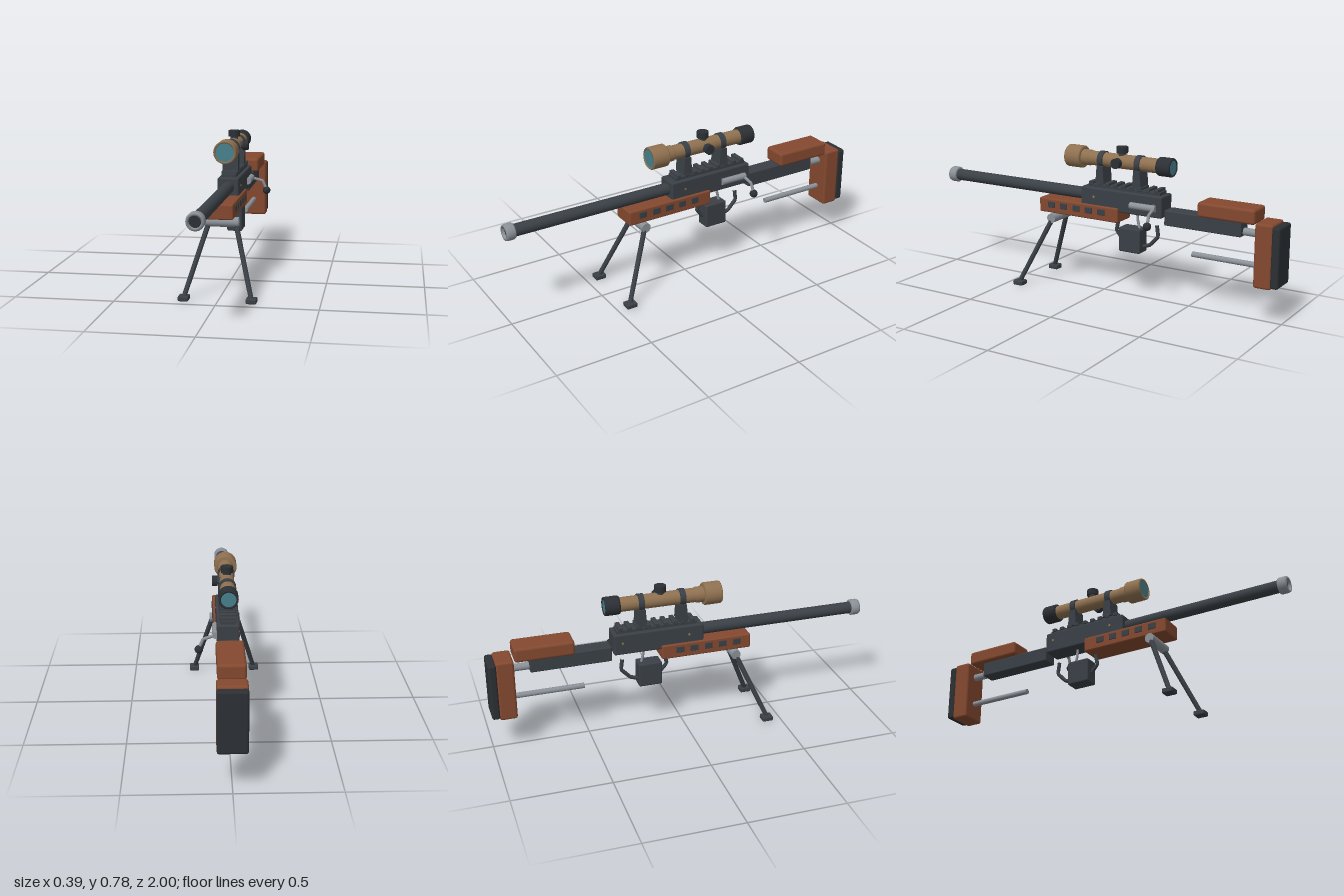
import * as THREE from 'three';
import { RoundedBoxGeometry } from 'three/addons/geometries/RoundedBoxGeometry.js';

const material = (name, color) => {
  const m = new THREE.MeshStandardMaterial({ color });
  m.name = name;
  return m;
};

export function createModel() {
  const model = new THREE.Group();
  const wood = material('wood', 0x84492f);
  const gunmetal = material('gunmetal', 0x3a4046);
  const dark = material('dark rubber', 0x2c3034);
  const steel = material('steel', 0x8b9198);
  const tan = material('tan', 0x8f7150);
  const glass = material('glass', 0x47808c);
  const brass = material('brass', 0x8f7a45);

  const add = (name, geometry, mat) => {
    const mesh = new THREE.Mesh(geometry, mat);
    mesh.name = name;
    model.add(mesh);
    return mesh;
  };
  // Box given by its limits on each axis, with softened edges
  const box = (name, mat, [x0, x1], [y0, y1], [z0, z1], r = 0.006) => {
    const g = new RoundedBoxGeometry(x1 - x0, y1 - y0, z1 - z0, 2, r);
    g.translate((x0 + x1) / 2, (y0 + y1) / 2, (z0 + z1) / 2);
    return add(name, g, mat);
  };
  // Cylinder between two points
  const rod = (name, mat, a, b, r0, r1 = r0, sides = 24) => {
    const from = new THREE.Vector3(...a), to = new THREE.Vector3(...b);
    const dir = to.clone().sub(from);
    const mesh = add(name, new THREE.CylinderGeometry(r1, r0, dir.length(), sides), mat);
    mesh.position.copy(from).add(to).multiplyScalar(0.5);
    mesh.quaternion.setFromUnitVectors(new THREE.Vector3(0, 1, 0), dir.normalize());
    return mesh;
  };
  // Turned part along z, profile given as [radius, z] with z rising
  const turned = (name, mat, y, profile) => {
    const g = new THREE.LatheGeometry(profile.map(([r, z]) => new THREE.Vector2(r, z)), 32);
    g.rotateX(Math.PI / 2);
    g.translate(0, y, 0);
    return add(name, g, mat);
  };
  // Bent round bar through points, with straight segments
  const bentBar = (name, mat, points, r) => {
    const path = new THREE.CurvePath();
    const p = points.map((q) => new THREE.Vector3(...q));
    for (let i = 1; i < p.length; i++) path.add(new THREE.LineCurve3(p[i - 1], p[i]));
    return add(name, new THREE.TubeGeometry(path, 32, r, 10), mat);
  };

  // Barrel and muzzle
  const boreY = 0.508;
  rod('barrel', gunmetal, [0, boreY, 0.09], [0, boreY, 0.96], 0.031);
  turned('muzzle', steel, boreY, [[0.031, 0.952], [0.038, 0.952], [0.042, 0.958],
    [0.042, 0.99], [0.038, 1], [0.028, 1], [0.028, 0.955]]);
  rod('bore', dark, [0, boreY, 0.955], [0, boreY, 0.985], 0.029);

  // Receiver with pins and rail
  box('receiver', gunmetal, [-0.055, 0.055], [0.446, 0.557], [-0.365, 0.108], 0.008);
  for (const z of [0.03, -0.32])
    rod('pin', brass, [-0.057, 0.51, z], [0.057, 0.51, z], 0.006, 0.006, 12);
  box('rail', gunmetal, [-0.036, 0.036], [0.55, 0.574], [-0.345, 0.075], 0.003);
  for (let i = 0; i < 9; i++) {
    const z = 0.055 - i * 0.0475;
    box('railTooth', gunmetal, [-0.041, 0.041], [0.568, 0.587], [z - 0.012, z + 0.012], 0.003);
  }

  // Bolt and its handle
  rod('bolt', steel, [0.06, 0.495, -0.19], [0.06, 0.495, -0.335], 0.017);
  bentBar('boltHandle', steel, [[0.06, 0.495, -0.325], [0.122, 0.477, -0.332], [0.143, 0.43, -0.335]], 0.008);
  const knob = add('boltKnob', new THREE.SphereGeometry(0.021, 20, 14), dark);
  knob.position.set(0.143, 0.425, -0.335);

  // Fore-end with side vents
  box('foreEnd', wood, [-0.066, 0.066], [0.391, 0.468], [-0.118, 0.362], 0.008);
  for (const s of [-1, 1])
    for (let i = 0; i < 5; i++) {
      const z = 0.285 - i * 0.0765;
      box('vent', gunmetal, [s * 0.066 - 0.004, s * 0.066 + 0.004], [0.42, 0.452], [z - 0.021, z + 0.021], 0.002);
    }

  // Magazine, trigger and guard
  box('magazine', gunmetal, [-0.04, 0.04], [0.238, 0.366], [-0.234, -0.11], 0.008);
  bentBar('trigger', steel, [[0, 0.45, -0.198], [0, 0.41, -0.2], [0, 0.36, -0.212]], 0.007);
  bentBar('triggerGuard', gunmetal, [[0, 0.4, -0.088], [0, 0.335, -0.075], [0, 0.29, -0.115],
    [0, 0.272, -0.235], [0, 0.285, -0.272], [0, 0.335, -0.32], [0, 0.395, -0.312]], 0.01);

  // Stock
  box('stockBeam', gunmetal, [-0.041, 0.041], [0.412, 0.49], [-0.79, -0.373], 0.006);
  rod('stockRod', steel, [0, 0.434, -0.78], [0, 0.434, -0.88], 0.019);
  rod('lowerRod', steel, [0, 0.276, -0.515], [0, 0.276, -0.88], 0.014);
  box('cheekRest', wood, [-0.066, 0.066], [0.488, 0.563], [-0.868, -0.565], 0.014);
  box('butt', wood, [-0.071, 0.071], [0.183, 0.503], [-0.962, -0.872], 0.012);
  box('buttPad', dark, [-0.071, 0.071], [0.192, 0.494], [-1, -0.958], 0.012);

  // Bipod
  rod('bipodBar', steel, [-0.083, 0.366, 0.278], [0.083, 0.366, 0.278], 0.025);
  for (const s of [-1, 1]) {
    rod('bipodLeg', gunmetal, [s * 0.068, 0.36, 0.28], [s * 0.165, 0.02, 0.427], 0.013, 0.012, 16);
    box('bipodFoot', gunmetal, [s * 0.167 - 0.026, s * 0.167 + 0.026], [0, 0.025], [0.398, 0.456], 0.006);
  }

  // Scope body and lenses
  const scopeY = 0.7;
  turned('scopeTube', tan, scopeY, [[0.037, -0.33], [0.037, 0.078]]);
  turned('scopeCollar', tan, scopeY, [[0.037, 0.075], [0.041, 0.08], [0.041, 0.125]]);
  turned('scopeBell', tan, scopeY, [[0.038, 0.118], [0.054, 0.118], [0.058, 0.123],
    [0.058, 0.205], [0.055, 0.21], [0.047, 0.21], [0.047, 0.195]]);
  rod('frontLens', glass, [0, scopeY, 0.195], [0, scopeY, 0.207], 0.0475, 0.0475, 32);
  turned('eyepiece', dark, scopeY, [[0.037, -0.39], [0.037, -0.4], [0.045, -0.4],
    [0.048, -0.395], [0.048, -0.33], [0.045, -0.322], [0.036, -0.322]]);
  rod('rearLens', glass, [0, scopeY, -0.385], [0, scopeY, -0.396], 0.0375, 0.0375, 32);

  // Scope mounts: tapered post and ring
  for (const z of [0.004, -0.212]) {
    const post = new THREE.Shape();
    post.moveTo(-0.025, 0.578);
    post.lineTo(0.025, 0.578);
    post.lineTo(0.018, 0.67);
    post.lineTo(-0.018, 0.67);
    const g = new THREE.ExtrudeGeometry(post, { depth: 0.08, bevelEnabled: false });
    g.translate(0, 0, -0.04);
    g.rotateY(Math.PI / 2);
    g.translate(0, 0, z);
    add('mountPost', g, gunmetal);
    rod('mountRing', gunmetal, [0, scopeY, z - 0.015], [0, scopeY, z + 0.015], 0.043, 0.043, 32);
  }

  // Adjustment turrets, on top and on the left
  const tz = -0.107;
  rod('topTurretNeck', gunmetal, [0, 0.72, tz], [0, 0.75, tz], 0.02);
  rod('topTurret', dark, [0, 0.745, tz], [0, 0.777, tz], 0.03);
  rod('sideTurretNeck', gunmetal, [0.02, scopeY, tz], [0.05, scopeY, tz], 0.019);
  rod('sideTurret', dark, [0.046, scopeY, tz], [0.074, scopeY, tz], 0.026);

  return model;
}
